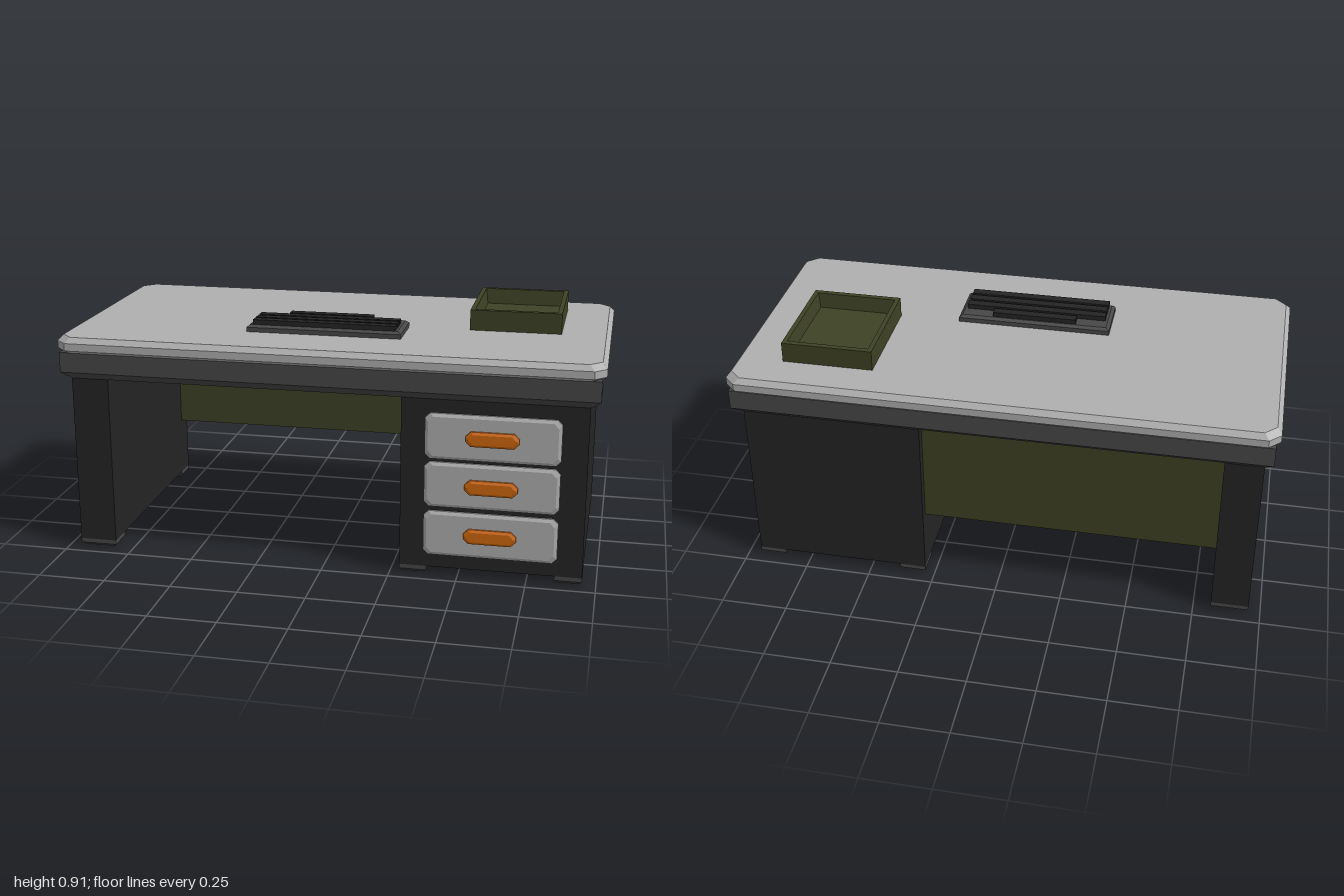
import * as THREE from 'three';

const paint = (name, color) => {
  const m = new THREE.MeshStandardMaterial({ color });
  m.name = name;
  return m;
};

// Stacks rectangular rings [y, width, depth] (corners cut by `cut`) into a closed, flat-faced solid.
function loft(rings, cut = 0) {
  const loops = rings.map(([y, w, d]) => {
    const a = w / 2, b = d / 2, c = cut;
    const xz = c
      ? [[a, b - c], [a, -b + c], [a - c, -b], [-a + c, -b], [-a, -b + c], [-a, b - c], [-a + c, b], [a - c, b]]
      : [[a, b], [a, -b], [-a, -b], [-a, b]];
    return xz.map(([x, z]) => [x, y, z]);
  });
  const pos = [];
  const tri = (...corners) => corners.forEach((p) => pos.push(...p));
  const n = loops[0].length;
  for (let k = 0; k + 1 < loops.length; k++) {
    for (let i = 0; i < n; i++) {
      const j = (i + 1) % n, lo = loops[k], hi = loops[k + 1];
      tri(lo[i], lo[j], hi[j]);
      tri(lo[i], hi[j], hi[i]);
    }
  }
  const first = loops[0], last = loops[loops.length - 1];
  for (let i = 1; i + 1 < n; i++) {
    tri(first[0], first[i + 1], first[i]);
    tri(last[0], last[i], last[i + 1]);
  }
  const g = new THREE.BufferGeometry();
  g.setAttribute('position', new THREE.Float32BufferAttribute(pos, 3));
  g.computeVertexNormals();
  return g;
}

export function createModel() {
  const desk = new THREE.Group();
  desk.name = 'desk';
  const lightGrey = paint('light grey', 0xb0b0b0);
  const midGrey = paint('mid grey', 0x484848);
  const charcoal = paint('charcoal', 0x242424);
  const olive = paint('olive', 0x3e4224);
  const orange = paint('orange', 0xd0680f);

  const add = (name, geometry, material, x = 0, y = 0, z = 0) => {
    const mesh = new THREE.Mesh(geometry, material);
    mesh.name = name;
    mesh.position.set(x, y, z);
    desk.add(mesh);
    return mesh;
  };
  // Box given by its limits on each axis
  const block = (name, material, [x0, x1], [y0, y1], [z0, z1]) =>
    add(name, new THREE.BoxGeometry(x1 - x0, y1 - y0, z1 - z0), material,
      (x0 + x1) / 2, (y0 + y1) / 2, (z0 + z1) / 2);

  // Worktop with bevelled edges and the tapered apron below it
  add('worktop', loft([
    [0.772, 1.97, 0.965], [0.785, 2, 0.995], [0.813, 2, 0.995], [0.833, 1.965, 0.96],
  ], 0.042), lightGrey);
  add('apron', loft([[0.67, 1.91, 0.9], [0.7, 1.97, 0.97], [0.775, 1.97, 0.97]]), midGrey);

  // Side panel, drawer pedestal and modesty panel
  block('sidePanel', charcoal, [-0.955, -0.815], [0.03, 0.67], [-0.45, 0.45]);
  block('pedestal', charcoal, [0.285, 0.95], [0.03, 0.67], [-0.45, 0.45]);
  block('modestyPanel', olive, [-0.815, 0.285], [0.26, 0.67], [-0.415, -0.375]);

  // Feet
  for (const [x, width] of [[-0.885, 0.14], [0.335, 0.1], [0.9, 0.1]]) {
    for (const z of [-0.402, 0.402]) {
      add('foot', loft([[0, width - 0.03, 0.06], [0.014, width, 0.096], [0.03, width, 0.096]]),
        midGrey, x, 0, z);
    }
  }

  // Drawers with pulls; the lofts are turned so that their tops face the front
  const drawer = loft([[0, 0.485, 0.17], [0.008, 0.485, 0.17], [0.015, 0.461, 0.146]], 0.018);
  const pull = loft([[0, 0.19, 0.055], [0.009, 0.19, 0.055], [0.015, 0.174, 0.037]], 0.018);
  for (const y of [0.166, 0.353, 0.535]) {
    add('drawerFront', drawer, lightGrey, 0.615, y, 0.449).rotation.x = Math.PI / 2;
    add('drawerPull', pull, orange, 0.615, y, 0.463).rotation.x = Math.PI / 2;
  }

  // Keyboard with four rows of keys, the narrow one being the space bar
  add('keyboardBase', loft([[0.83, 0.58, 0.195], [0.85, 0.58, 0.195], [0.86, 0.555, 0.175]]),
    midGrey, -0.04, 0, 0.168);
  for (const z of [0.147, 0.193, 0.239]) {
    block('keyRow', charcoal, [-0.308, 0.228], [0.858, 0.878], [z - 0.017, z + 0.017]);
  }
  block('spaceBar', charcoal, [-0.2, 0.12], [0.858, 0.878], [0.084, 0.118]);

  // Open paper tray: up the outside, over the rim and down to the floor
  add('paperTray', loft([
    [0.832, 0.34, 0.413], [0.91, 0.34, 0.413], [0.91, 0.305, 0.372], [0.852, 0.29, 0.357],
  ]), olive, 0.65, 0, -0.134);

  return desk;
}
